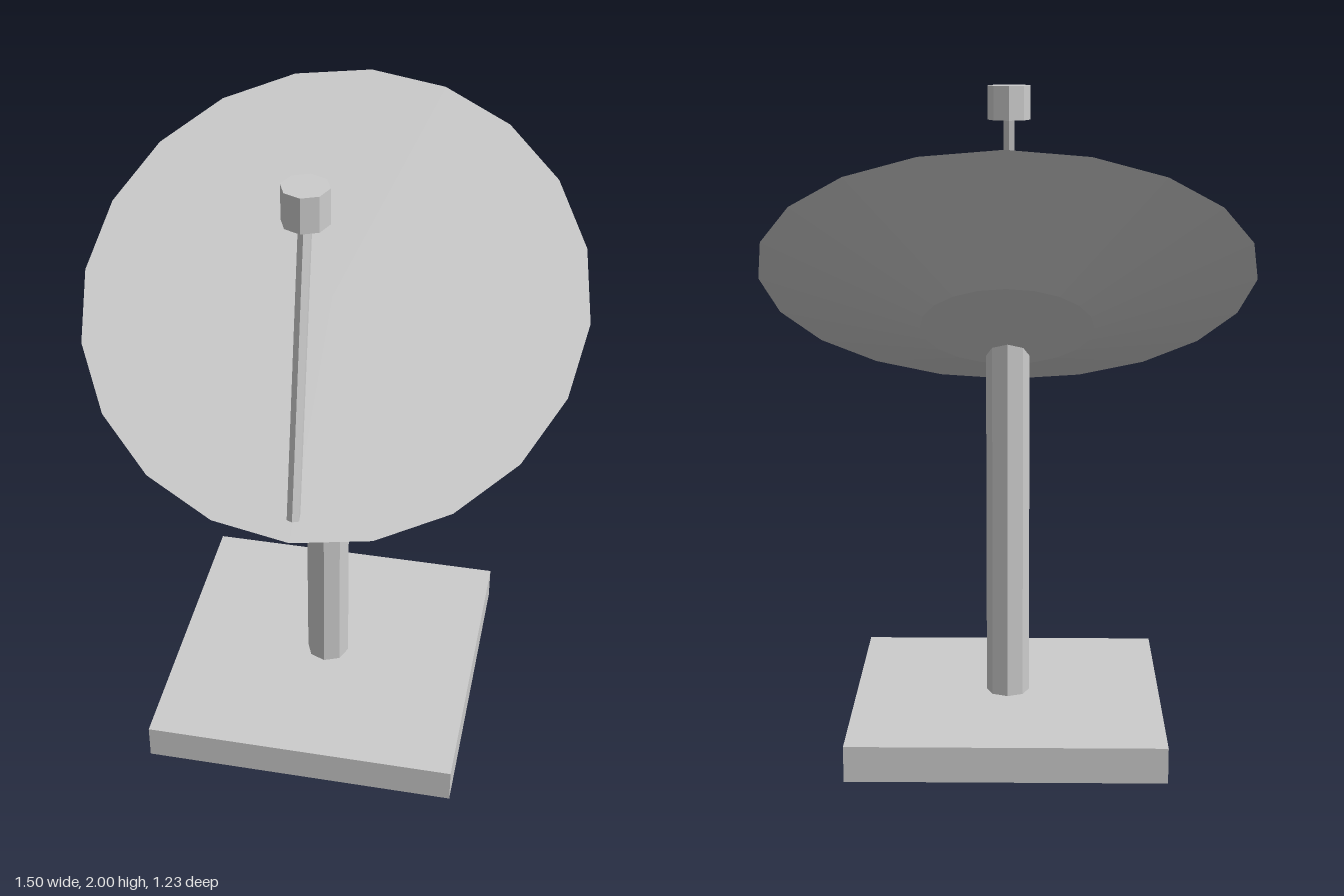
import * as THREE from 'three';

export function createModel() {
  const group = new THREE.Group();
  group.name = 'satelliteDish';
  const grey = new THREE.MeshStandardMaterial({ color: 0xcccccc, flatShading: true });
  grey.name = 'light grey';

  function add(name, geometry, x, y, z) {
    const mesh = new THREE.Mesh(geometry, grey);
    mesh.name = name;
    mesh.position.set(x, y, z);
    group.add(mesh);
    return mesh;
  }

  // Square foot and octagonal mast, set slightly forward
  add('base', new THREE.BoxGeometry(0.96, 0.11, 0.96), 0, 0.055, 0.07);
  const mastBottom = 0.1, mastTop = 1.27;
  add('mast', new THREE.CylinderGeometry(0.067, 0.067, mastTop - mastBottom, 8),
    0, (mastBottom + mastTop) / 2, 0.07);

  // Dish: a solid truncated cone with its flat face tilted forward
  const depth = 0.163;
  const dishGeometry = new THREE.CylinderGeometry(0.75, 0.26, depth, 20);
  dishGeometry.translate(0, -depth / 2, 0); // pivot on the centre of the face
  const dish = add('dish', dishGeometry, 0, 1.442, 0);
  dish.rotation.x = THREE.MathUtils.degToRad(35);

  // Thin arm from the lower rim up to the receiver
  const start = new THREE.Vector3(0, 1.05, 0.555);
  const end = new THREE.Vector3(0, 1.92, 0.355);
  const along = end.clone().sub(start);
  const middle = start.clone().add(end).multiplyScalar(0.5);
  const arm = add('feedArm', new THREE.CylinderGeometry(0.02, 0.02, along.length(), 6),
    middle.x, middle.y, middle.z);
  arm.quaternion.setFromUnitVectors(new THREE.Vector3(0, 1, 0), along.normalize());

  // Octagonal receiver
  add('receiver', new THREE.CylinderGeometry(0.067, 0.067, 0.106, 8), 0, 1.947, 0.355);

  return group;
}
